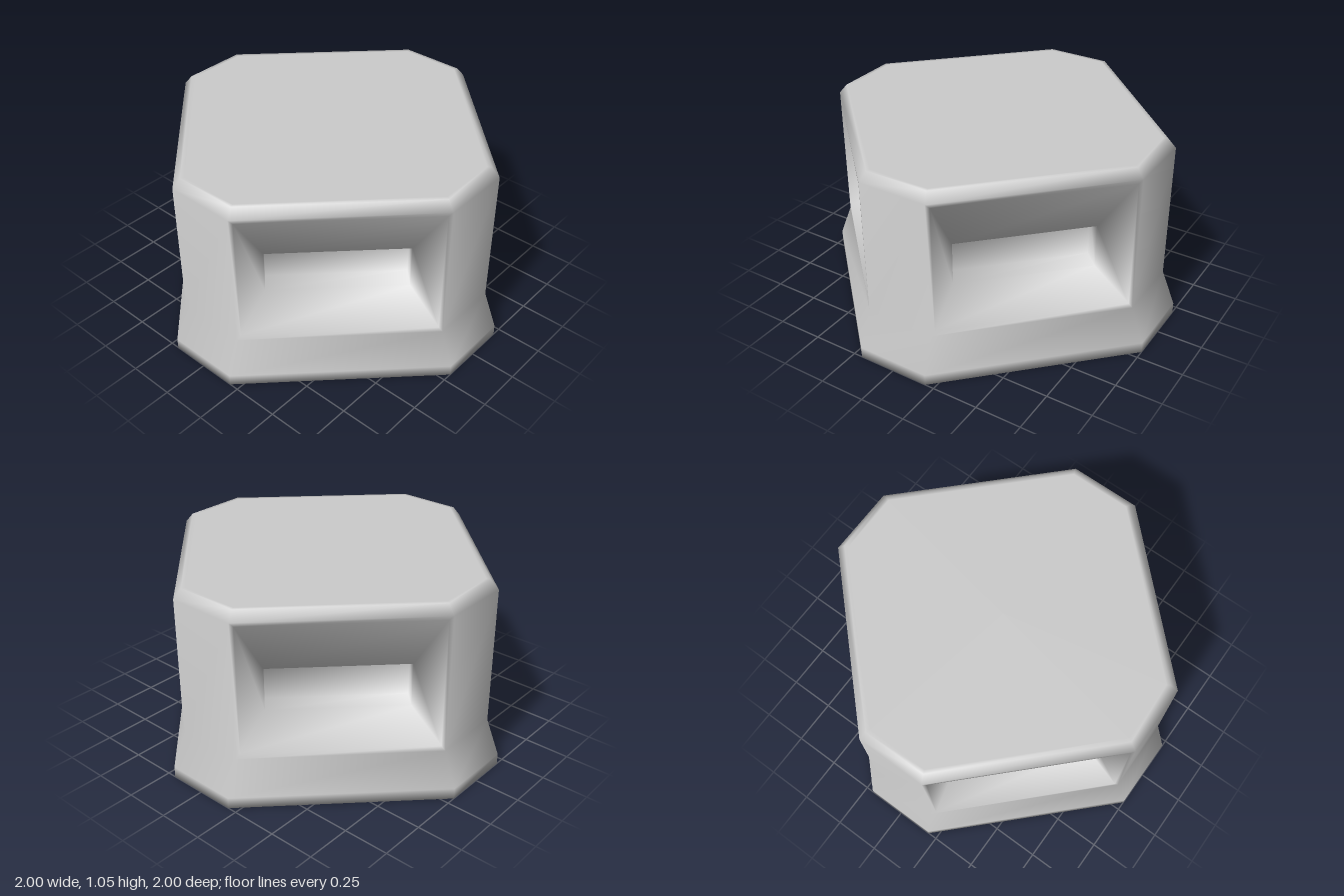
import * as THREE from 'three';

const material = new THREE.MeshStandardMaterial({ color: 0xcccccc });

// Octagon with four long diagonal sides: half extent r, half corner width c
const octagon = (r, c) => [
  [c, r], [r, c], [r, -c], [c, -r], [-c, -r], [-r, -c], [-r, c], [-c, r],
];

// Cross-sections from the ground up: [y, r, c]; the last one insets the flat top
const levels = [
  [0, 1, 0.2],
  [0.06, 1, 0.2],
  [0.25, 0.925, 0.19],
  [1.0, 0.925, 0.19],
  [1.05, 0.885, 0.175],
  [1.05, 0.865, 0.165],
];
const BODY = 2; // band that carries the recesses
const faceDist = (0.925 + 0.19) / Math.SQRT2;

// Recess sections going inwards: [distance from axis, half width, y0, y1]
const recess = [
  [faceDist, 0.497, 0.28, 0.98], // opening
  [0.605, 0.37, 0.41, 0.65],     // end of the tapered walls
  [0.485, 0.37, 0.41, 0.65],     // back of the straight slot
];

// Rectangle parallel to a diagonal face, anticlockwise seen from outside
function faceRect(side, [dist, half, y0, y1]) {
  const angle = Math.PI / 4 + (side * Math.PI) / 2;
  const nx = Math.sin(angle), nz = Math.cos(angle);
  return [[-half, y0], [half, y0], [half, y1], [-half, y1]].map(
    ([u, y]) => [nx * dist + nz * u, y, nz * dist - nx * u]);
}

// Flared block with bevelled top and a stepped recess in each diagonal side
function createBlock() {
  const pos = [], index = [];
  const add = (x, y, z) => pos.push(x, y, z) / 3 - 1;
  const quad = (a, b, c, d) => index.push(a, b, c, a, c, d);
  const band = (outer, inner) => {
    for (let e = 0; e < 4; e++) {
      const f = (e + 1) % 4;
      quad(outer[e], outer[f], inner[f], inner[e]);
    }
  };

  const rings = levels.map(([y, r, c]) => octagon(r, c).map(([x, z]) => add(x, y, z)));
  for (let k = 0; k < rings.length - 1; k++) {
    for (let i = 0; i < 8; i++) {
      const j = (i + 1) % 8;
      let outer = [rings[k][i], rings[k][j], rings[k + 1][j], rings[k + 1][i]];
      if (k === BODY && i % 2 === 0) {
        // Frame, tapered walls, slot walls, then the back panel
        for (const section of recess) {
          const inner = faceRect(i / 2, section).map((p) => add(...p));
          band(outer, inner);
          outer = inner;
        }
      }
      quad(...outer);
    }
  }

  // Flat top and underside
  const top = rings[rings.length - 1], bottom = rings[0];
  const topMid = add(0, 1.05, 0), bottomMid = add(0, 0, 0);
  for (let i = 0; i < 8; i++) {
    const j = (i + 1) % 8;
    index.push(topMid, top[i], top[j], bottomMid, bottom[j], bottom[i]);
  }

  const geo = new THREE.BufferGeometry();
  geo.setAttribute('position', new THREE.Float32BufferAttribute(pos, 3));
  geo.setIndex(index);
  geo.computeVertexNormals();
  const mesh = new THREE.Mesh(geo, material);
  mesh.name = 'recessedBlock';
  return mesh;
}

export function createModel() {
  const group = new THREE.Group();
  group.name = 'model';
  group.add(createBlock());
  return group;
}
